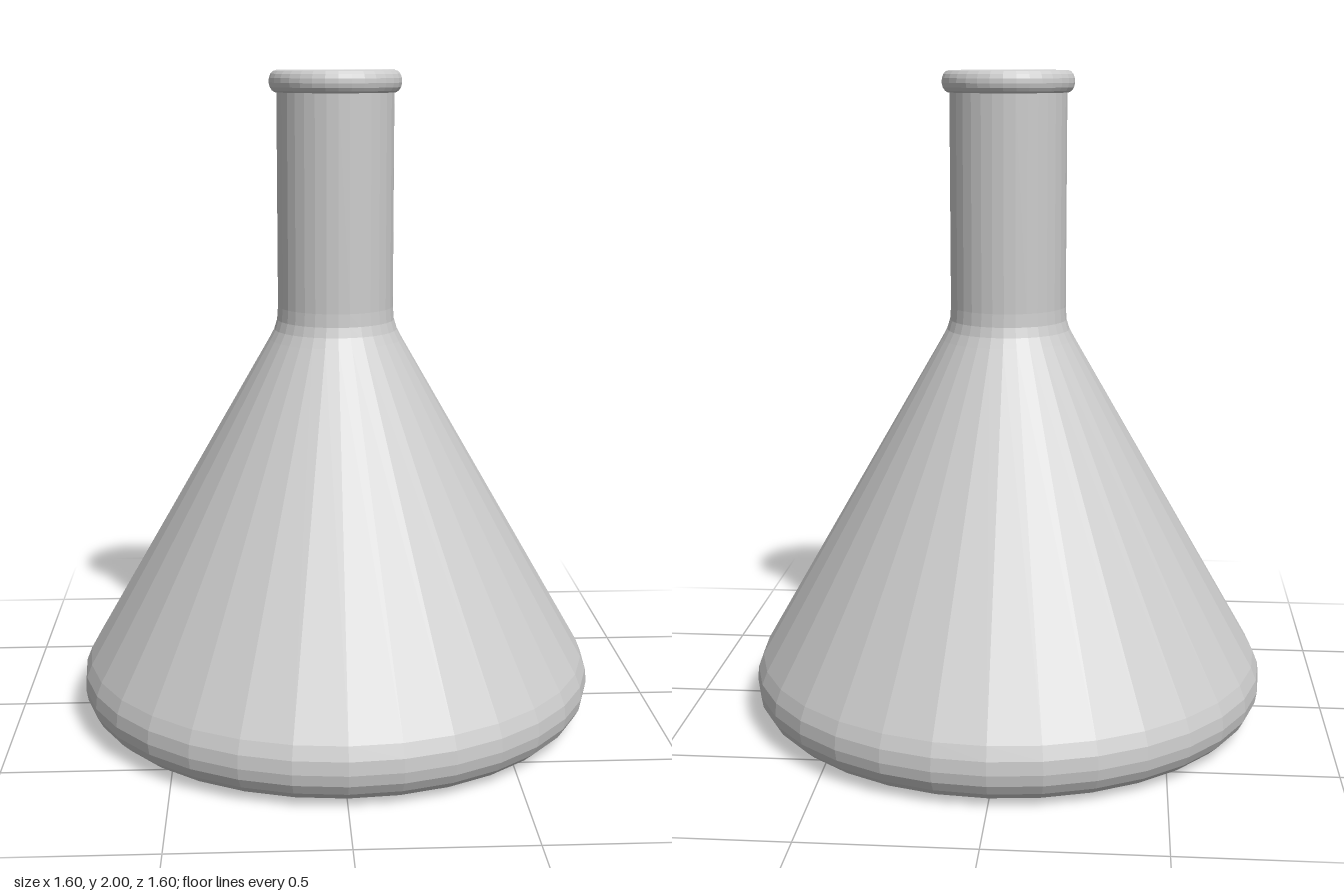
import * as THREE from 'three';

const SIDES = 32;

// Quarter-style arc of profile points around (cx, cy), angles in degrees
function arc(cx, cy, rx, ry, from, to, steps) {
  return Array.from({ length: steps + 1 }, (_, i) => {
    const a = THREE.MathUtils.degToRad(from + ((to - from) * i) / steps);
    return [cx + rx * Math.cos(a), cy + ry * Math.sin(a)];
  });
}

function lathe(name, profile, material) {
  const points = profile.map(([r, y]) => new THREE.Vector2(Math.max(r, 0), y));
  const mesh = new THREE.Mesh(new THREE.LatheGeometry(points, SIDES), material);
  mesh.name = name;
  return mesh;
}

export function createModel() {
  const flask = new THREE.Group();
  flask.name = 'conicalFlask';
  const glass = new THREE.MeshStandardMaterial({ color: 0xcccccc, flatShading: true });

  // Outer wall: flat bottom, rounded heel, cone, curved shoulder, neck
  flask.add(lathe('outerWall', [
    [0, 0],
    ...arc(0.68, 0.11, 0.12, 0.11, -90, 0, 5),
    [0.796, 0.15], [0.78, 0.19],
    [0.205, 1.19], [0.189, 1.22], [0.18, 1.25], [0.177, 1.29],
    [0.177, 1.94],
  ], glass));

  // Rounded lip, sloping in to a small step at the mouth
  flask.add(lathe('lip', [
    [0.177, 1.935],
    ...arc(0.178, 1.967, 0.022, 0.033, -80, 90, 7),
    [0.168, 1.993], [0.15, 1.962], [0.13, 1.953], [0.126, 1.94],
  ], glass));

  // Inner wall, running down the neck and cone to the inside floor
  flask.add(lathe('innerWall', [
    [0.126, 1.94],
    [0.126, 1.27], [0.132, 1.23], [0.15, 1.18],
    [0.73, 0.18], [0.745, 0.14],
    ...arc(0.67, 0.12, 0.08, 0.07, 0, -90, 4),
    [0, 0.05],
  ], glass));

  return flask;
}
